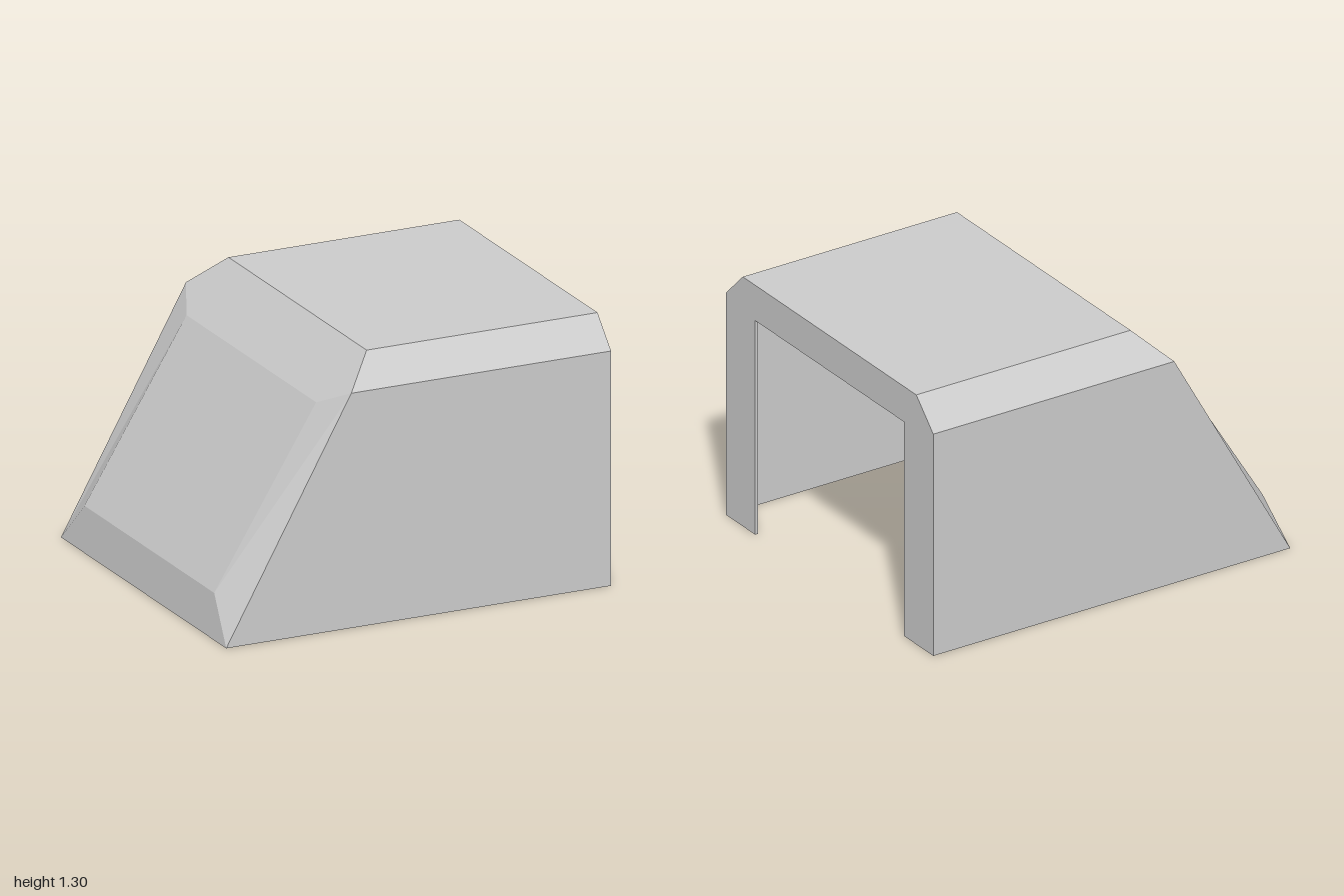
import * as THREE from 'three';

const W = 0.873;   // half width of the walls
const R = 0.73;    // half width of the flat roof
const P = 0.685;   // half width of the raised slope panel
const EAVE = 1.16, TOP = 1.305, FRAME = 0.015;

const material = new THREE.MeshStandardMaterial({
  color: 0xcccccc, flatShading: true, side: THREE.DoubleSide,
});

// One flat convex facet, corners anticlockwise seen from outside
function facet(name, corners) {
  const index = [];
  for (let i = 1; i < corners.length - 1; i++) index.push(0, i, i + 1);
  const indexed = new THREE.BufferGeometry();
  indexed.setAttribute('position', new THREE.Float32BufferAttribute(corners.flat(), 3));
  indexed.setIndex(index);
  const geometry = indexed.toNonIndexed();
  geometry.computeVertexNormals();
  const mesh = new THREE.Mesh(geometry, material);
  mesh.name = name;
  return mesh;
}

// A facet on the +z side and its mirror image on the -z side
function facetPair(name, corners) {
  const mirrored = corners.map(([x, y, z]) => [x, y, -z]).reverse();
  return [facet(name + 'Left', corners), facet(name + 'Right', mirrored)];
}

// Doorway plate closing the upright end
function doorFrame() {
  const shape = new THREE.Shape([
    [-W, 0], [-0.625, 0], [-0.625, 1.12], [0.625, 1.12], [0.625, 0],
    [W, 0], [W, EAVE], [R, TOP], [-R, TOP], [-W, EAVE],
  ].map(([x, y]) => new THREE.Vector2(x, y)));
  const geometry = new THREE.ExtrudeGeometry(shape, { depth: FRAME, bevelEnabled: false });
  geometry.rotateY(Math.PI / 2);
  geometry.translate(1 - FRAME, 0, 0);
  const mesh = new THREE.Mesh(geometry, material);
  mesh.name = 'doorFrame';
  return mesh;
}

export function createModel() {
  const model = new THREE.Group();
  model.name = 'shelter';

  // Thin walls and roof, open underneath
  model.add(...facetPair('sideWall', [[-1, 0, W], [1, 0, W], [1, EAVE, W], [-0.35, EAVE, W]]));
  model.add(...facetPair('roofChamfer', [[-0.35, EAVE, W], [1, EAVE, W], [1, TOP, R], [-0.2, TOP, R]]));
  model.add(facet('roof', [[-0.2, TOP, R], [1, TOP, R], [1, TOP, -R], [-0.2, TOP, -R]]));

  // Sloping end with a raised panel and bevelled rim
  model.add(facet('slopePanel', [[-0.97, 0.21, -P], [-0.97, 0.21, P], [-0.44, 1.07, P], [-0.44, 1.07, -P]]));
  model.add(facet('slopeLowerBevel', [[-1, 0, -W], [-1, 0, W], [-0.97, 0.21, P], [-0.97, 0.21, -P]]));
  model.add(...facetPair('slopeSideBevel', [[-0.97, 0.21, P], [-1, 0, W], [-0.35, EAVE, W], [-0.44, 1.07, P]]));
  model.add(facet('slopeUpperBevel', [
    [-0.44, 1.07, -P], [-0.44, 1.07, P], [-0.35, EAVE, W],
    [-0.2, TOP, R], [-0.2, TOP, -R], [-0.35, EAVE, -W],
  ]));

  model.add(doorFrame());
  return model;
}
